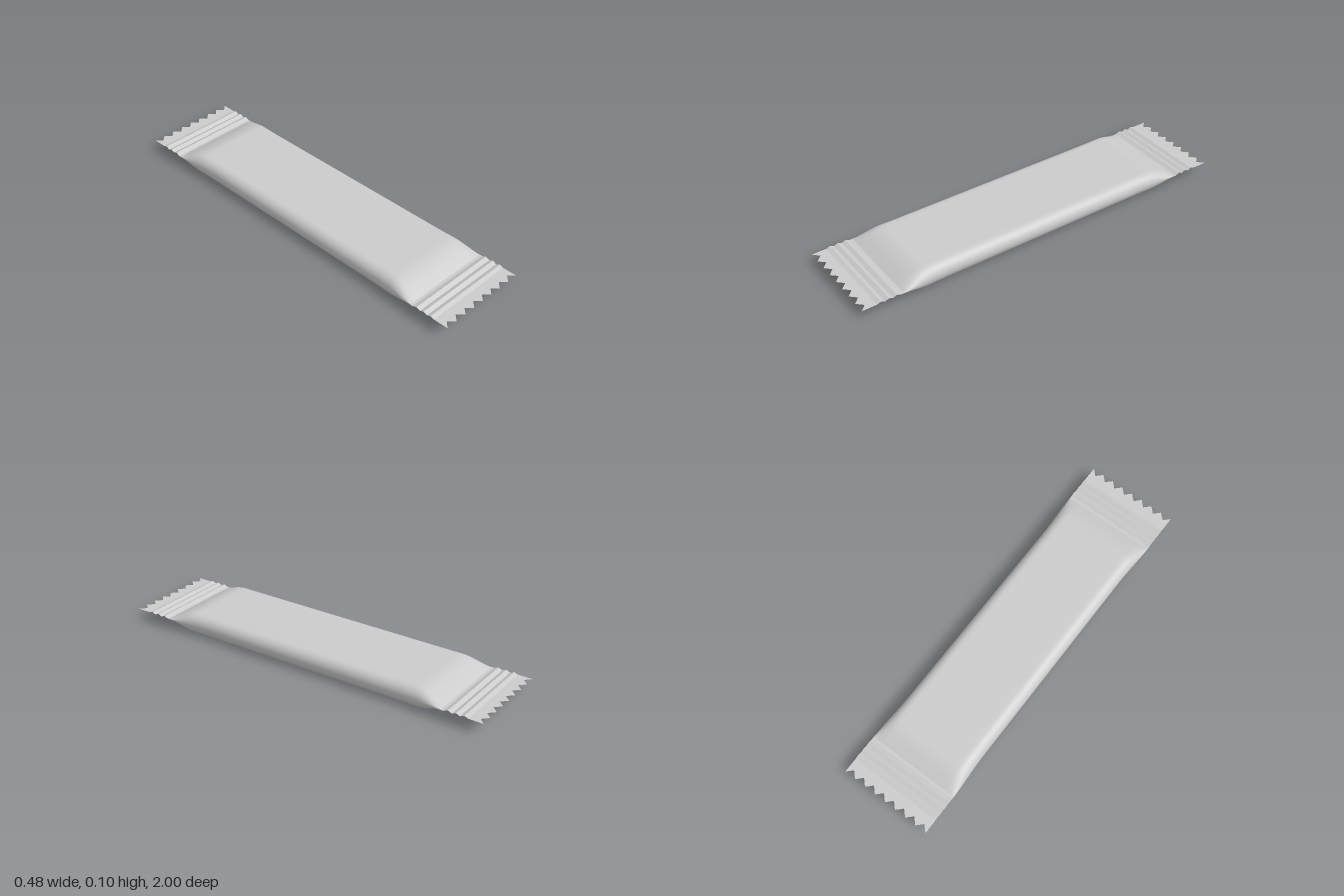
import * as THREE from 'three';
import { toCreasedNormals } from 'three/addons/utils/BufferGeometryUtils.js';

const MID = 0.053;      // height of the seal plane
const END = 0.79;       // where the pillow meets the crimps
const HALF = 0.24;      // half width of the crimps
const FLAT = 0.18;      // half width of the flat top and bottom

// Surface through rows of [x, y, z] points; closed rows wrap around
function loft(rows, closed) {
  const n = rows[0].length, index = [];
  for (let i = 0; i < rows.length - 1; i++) {
    for (let j = 0; j < (closed ? n : n - 1); j++) {
      const k = (j + 1) % n;
      const a = i * n + j, b = i * n + k, c = (i + 1) * n + k, d = (i + 1) * n + j;
      index.push(a, b, c, a, c, d);
    }
  }
  const g = new THREE.BufferGeometry();
  g.setAttribute('position', new THREE.Float32BufferAttribute(rows.flat(2), 3));
  g.setIndex(index);
  g.computeVertexNormals();
  return g;
}

// Pillow half height and half width along the length
function halfHeight(z) {
  const t = Math.min(1, (END - Math.abs(z)) / 0.15);
  return 0.002 + 0.049 * Math.sin(t * Math.PI / 2);
}
function halfWidth(z) {
  return 0.23 + (HALF - 0.23) * THREE.MathUtils.smoothstep(Math.abs(z), 0.55, END);
}

// Stations along z, denser at the tapered ends
function stations() {
  const half = [];
  for (let i = 0; i <= 16; i++) half.push(END - 0.16 * i / 16);
  half.push(0.58, 0.53, 0.3);
  return [...half.map(z => -z), 0, ...half.slice().reverse()];
}

function pillowSection(z) {
  const h = halfHeight(z), a = halfWidth(z) - FLAT, N = 14;
  const side = [[0, -h], [FLAT * 0.6, -h], [FLAT * 0.9, -h]];
  for (let i = 0; i <= N; i++) {
    const t = -Math.PI / 2 + Math.PI * i / N;
    side.push([FLAT + a * Math.cos(t), h * Math.sin(t)]);
  }
  side.push([FLAT * 0.9, h], [FLAT * 0.6, h], [0, h]);
  const mirrored = side.slice(1, -1).reverse().map(([x, y]) => [-x, y]);
  return [...side, ...mirrored].map(([x, y]) => [x, MID + y, z]);
}

// Thin folded seam lying against the underside
function flapSection(z) {
  const top = MID - halfHeight(z), low = top - 0.002;
  return [[0, low, z], [FLAT, low, z], [FLAT, top, z], [0, top, z]];
}

// Pressed end seal: three ridges, then a flat strip cut in a zigzag
function crimpGeometry() {
  const teeth = 8, cols = teeth * 2;
  const profile = [[END - 0.005, 0], [0.803, 0], [0.825, 0.009], [0.845, 0], [0.865, 0.009],
    [0.885, 0], [0.905, 0.009], [0.925, 0.002], [0.96, 0.002], [1, 0.002]];
  const rows = profile.map(([z, y], r) => Array.from({ length: cols + 1 }, (_, i) => {
    const notch = r === profile.length - 1 && i % 2 ? 0.03 : 0;
    return [HALF - 2 * HALF * i / cols, MID + y, z - notch];
  }));
  return toCreasedNormals(loft(rows, false), 0.15);
}

export function createModel() {
  const group = new THREE.Group();
  group.name = 'wrappedBar';
  const material = new THREE.MeshStandardMaterial({ color: 0xcccccc, side: THREE.DoubleSide });
  const add = (name, geometry) => {
    const mesh = new THREE.Mesh(geometry, material);
    mesh.name = name;
    group.add(mesh);
    return mesh;
  };

  add('wrapperBody', loft(stations().map(pillowSection), true));
  add('backSeamFlap', toCreasedNormals(loft(stations().map(flapSection), true), 0.6));

  const crimp = crimpGeometry();
  add('frontCrimp', crimp);
  add('backCrimp', crimp).rotation.y = Math.PI;
  return group;
}
